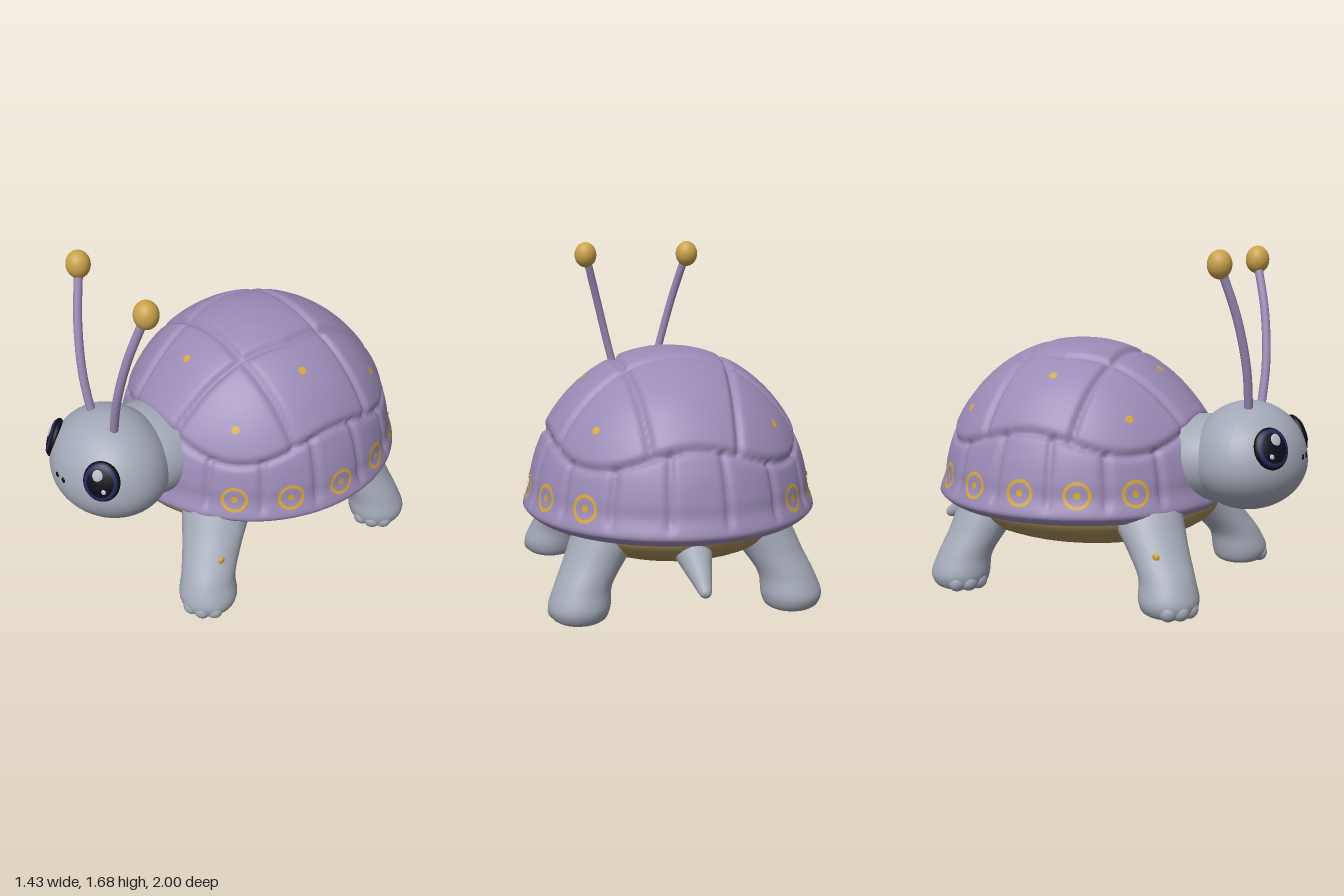
import * as THREE from 'three';
import { mergeVertices } from 'three/addons/utils/BufferGeometryUtils.js';

const V3 = THREE.Vector3;
const mat = (name, color) => {
  const m = new THREE.MeshStandardMaterial({ color });
  m.name = name;
  return m;
};

// Shell profile (radius, height), from the crown to the underside of the rim
const SHELL_Z = -0.17, STRETCH = 1.03;
const crown = [0, 0.2, 0.4, 0.6, 0.8, 1.0, 1.2, 1.36].map(a =>
  new THREE.Vector2(0.695 * Math.sin(a), 0.45 + 0.76 * Math.cos(a)));
const rim = [[0.69, 0.535], [0.715, 0.465], [0.71, 0.44], [0.66, 0.405], [0.58, 0.4], [0.45, 0.42]]
  .map(p => new THREE.Vector2(...p));
const profile = new THREE.SplineCurve([...crown, ...rim]);
profile.arcLengthDivisions = 600;
const LENGTH = profile.getLength();

// Seams between the upper plates, in plan (x, z), mirrored in x
const seams = [
  [0, -0.35, 0.25, -0.36], [0, 0.09, 0.22, 0.09],
  [0.2, -0.8, 0.25, -0.36], [0.25, -0.36, 0.27, -0.14], [0.27, -0.14, 0.22, 0.09], [0.22, 0.09, 0.15, 0.55],
  [0.25, -0.36, 0.64, -0.43], [0.22, 0.09, 0.64, 0.04],
];
function seamDistance(x, z) {
  let best = 9;
  for (const [ax, az, bx, bz] of seams) {
    const dx = bx - ax, dz = bz - az;
    const t = THREE.MathUtils.clamp(((x - ax) * dx + (z - az) * dz) / (dx * dx + dz * dz), 0, 1);
    best = Math.min(best, Math.hypot(x - ax - t * dx, z - az - t * dz));
  }
  return best;
}
const groove = (d, w) => Math.exp(-((d / w) ** 2));

// Point on the grooved shell at an angle and a fraction of the profile length
function shellPoint(theta, u) {
  const p = profile.getPointAt(THREE.MathUtils.clamp(u, 0, 1));
  const pos = new V3(p.x * Math.cos(theta), p.y, p.x * STRETCH * Math.sin(theta) + SHELL_Z);
  const ringY = 0.78 + 0.05 * Math.cos(4 * theta);
  let push = -0.018 * groove(p.y - ringY, 0.018);
  if (p.y > ringY) {
    push += 0.008 - 0.022 * groove(seamDistance(Math.abs(pos.x), pos.z), 0.017);
  } else if (u < 0.85) {
    const step = Math.PI / 8, a = theta / step - 0.5;
    const d = Math.abs(a - Math.round(a)) * step * 0.7;
    push -= 0.018 * groove(d, 0.017) * THREE.MathUtils.smoothstep(p.y, 0.46, 0.52);
  }
  // collar swelling around the neck
  const front = Math.max(0, Math.sin(theta));
  push += 0.05 * front ** 14 * groove(p.y - 0.68, 0.2);
  return pos.add(new V3(pos.x, p.y - 0.45, pos.z - SHELL_Z).normalize().multiplyScalar(push));
}

// Smooth closed surface from a rule fn(angle, v), v running from top to bottom
function surface(fn, around, down) {
  const g = new THREE.PlaneGeometry(1, 1, around, down);
  const pos = g.attributes.position, uv = g.attributes.uv;
  for (let i = 0; i < pos.count; i++) {
    const p = fn(-2 * Math.PI * uv.getX(i), 1 - uv.getY(i));
    pos.setXYZ(i, p.x, p.y, p.z);
  }
  g.deleteAttribute('uv');
  g.deleteAttribute('normal');
  const m = mergeVertices(g, 1e-5);
  m.computeVertexNormals();
  return m;
}

// Thin ring or dot laid on the shell
function shellMark(theta, y, inner, outer) {
  let u = 0;
  while (profile.getPointAt(u).y > y) u += 0.004;
  const radius = profile.getPointAt(u).x;
  const g = new THREE.RingGeometry(inner, outer, 32, 2);
  const pos = g.attributes.position;
  for (let i = 0; i < pos.count; i++) {
    const p = shellPoint(theta - pos.getX(i) / radius, u - pos.getY(i) / LENGTH);
    const n = new V3(p.x, p.y - 0.45, p.z - SHELL_Z).normalize();
    p.addScaledVector(n, 0.005);
    pos.setXYZ(i, p.x, p.y, p.z);
  }
  g.computeVertexNormals();
  return g;
}

export function createModel() {
  const root = new THREE.Group();
  root.name = 'turtle';
  const purple = mat('shell purple', 0x9a8ab5);
  const grey = mat('skin grey', 0xa2a8b6);
  const tan = mat('belly tan', 0xa58c58);
  const gold = mat('gold', 0xcaa24a);
  const mark = mat('marking yellow', 0xd4a637);
  const black = mat('eye black', 0x0c0c16);
  const navy = mat('iris navy', 0x23285c);
  const glint = mat('eye glint', 0xb9bdca);

  const add = (name, geo, material, parent = root) => {
    const m = new THREE.Mesh(geo, material);
    m.name = name;
    parent.add(m);
    return m;
  };
  const ball = (name, material, [x, y, z], [rx, ry, rz], parent = root, seg = 32) => {
    const m = add(name, new THREE.SphereGeometry(1, seg, Math.round(seg * 0.75)), material, parent);
    m.position.set(x, y, z);
    m.scale.set(rx, ry, rz);
    return m;
  };

  // Shell and belly
  add('shell', surface(shellPoint, 256, 110), purple);
  ball('belly', tan, [0, 0.42, -0.14], [0.59, 0.22, 0.68], root, 48);

  // Shell markings
  for (const side of [0, 1]) {
    for (let k = -2; k <= 2; k++) {
      const a = side * Math.PI + k * Math.PI / 8;
      add('shellRing', shellMark(a, 0.555, 0.05, 0.066), mark);
      add('shellRingDot', shellMark(a, 0.555, 0.001, 0.017), mark);
    }
  }
  for (const [x, z, y] of [[0.41, -0.57, 0.89], [0.41, -0.13, 1.065], [0.41, 0.27, 0.885]]) {
    for (const s of [-1, 1]) {
      add('shellDot', shellMark(Math.atan2((z - SHELL_Z) / STRETCH, x * s), y, 0.001, 0.019), mark);
    }
  }
  add('shellDot', shellMark(Math.PI / 2, 1.07, 0.001, 0.019), mark);

  // Head, fuller above than below, with a neck behind it
  const head = new THREE.SphereGeometry(1, 48, 36);
  const hp = head.attributes.position;
  for (let i = 0; i < hp.count; i++) {
    const y = hp.getY(i);
    hp.setXYZ(i, hp.getX(i) * 0.325, 0.66 + y * (y > 0 ? 0.29 : 0.235), 0.72 + hp.getZ(i) * 0.28);
  }
  head.computeVertexNormals();
  add('head', head, grey);
  ball('neck', grey, [0, 0.655, 0.5], [0.27, 0.215, 0.32]);

  // Rows of leg cross-sections: height, centre x, centre z, radius
  const legRows = {
    frontLeg: [[0.46, 0.31, 0.31, 0.17], [0.38, 0.355, 0.35, 0.165], [0.28, 0.42, 0.42, 0.145], [0.17, 0.485, 0.49, 0.133],
      [0.08, 0.51, 0.51, 0.143], [0.025, 0.51, 0.51, 0.125], [0.004, 0.51, 0.51, 0.08], [0.002, 0.51, 0.51, 0]],
    hindLeg: [[0.46, 0.32, -0.49, 0.18], [0.38, 0.37, -0.515, 0.165], [0.28, 0.43, -0.55, 0.145], [0.17, 0.49, -0.59, 0.135],
      [0.08, 0.51, -0.605, 0.145], [0.025, 0.51, -0.605, 0.125], [0.004, 0.51, -0.605, 0.08], [0.002, 0.51, -0.605, 0]],
  };

  for (const s of [-1, 1]) {
    // Legs with three soft toes each
    for (const [name, rows] of Object.entries(legRows)) {
      const centre = new THREE.CatmullRomCurve3(rows.map(r => new V3(r[1] * s, r[0], r[2])));
      const girth = new THREE.SplineCurve(rows.map((r, i) => new THREE.Vector2(i, r[3])));
      add(name, surface((a, v) => {
        const c = centre.getPoint(v), r = Math.max(0, girth.getPoint(v).y);
        return new V3(c.x + r * Math.cos(a), Math.max(0, c.y), c.z + r * Math.sin(a));
      }, 32, 36), grey);
      const foot = rows[4];
      for (const a of [0.35, 0.9, 1.45]) {
        ball('toe', grey, [s * (foot[1] + 0.105 * Math.cos(a)), 0.05, foot[2] + 0.105 * Math.sin(a)],
          [0.045, 0.045, 0.045], root, 16);
      }
    }
    ball('legDot', mark, [s * 0.557, 0.285, 0.463], [0.009, 0.018, 0.018], root, 16);

    // Eyes: black bulge, navy iris band and two glints
    const eye = new THREE.Group();
    eye.name = 'eye';
    const normal = new V3(0.61 * s, 0.3, 0.73);
    eye.position.set(0.213 * s, 0.765, 0.895);
    eye.lookAt(eye.position.clone().add(normal));
    root.add(eye);
    ball('eyeball', black, [0, 0, 0], [0.09, 0.1, 0.035], eye);
    const band = add('iris', new THREE.SphereGeometry(1, 40, 8, 0, Math.PI * 2, 0.78, 0.3).rotateX(Math.PI / 2), navy, eye);
    band.scale.set(0.092, 0.102, 0.037);
    ball('largeGlint', glint, [-0.012 * s, 0.035, 0.031], [0.026, 0.031, 0.006], eye, 20);
    ball('smallGlint', glint, [0.02 * s, -0.04, 0.031], [0.012, 0.013, 0.005], eye, 16);

    ball('nostril', black, [s * 0.027, 0.7, 0.995], [0.014, 0.014, 0.006], root, 16);

    // Antennae
    const stalk = new THREE.CatmullRomCurve3([[0.09, 0.88, 0.745], [0.15, 1.12, 0.75], [0.21, 1.36, 0.72], [0.272, 1.59, 0.66]]
      .map(([x, y, z]) => new V3(x * s, y, z)));
    add('antenna', new THREE.TubeGeometry(stalk, 32, 0.021, 16), purple);
    ball('antennaTip', gold, [s * 0.28, 1.612, 0.655], [0.059, 0.068, 0.058]);
  }

  // Tail, tapering to a rounded point
  const tailLine = new THREE.SplineCurve([[0.13, 0], [0.1, 0.12], [0.07, 0.25], [0.045, 0.36], [0.028, 0.435], [0.015, 0.455], [0, 0.46]]
    .map(p => new THREE.Vector2(...p)));
  const tailPoints = tailLine.getPoints(24);
  tailPoints.forEach(p => { p.x = Math.max(0, p.x); });
  const tail = add('tail', new THREE.LatheGeometry(tailPoints, 28), grey);
  tail.position.set(0, 0.42, -0.585);
  tail.rotation.x = -2.03;

  return root;
}
